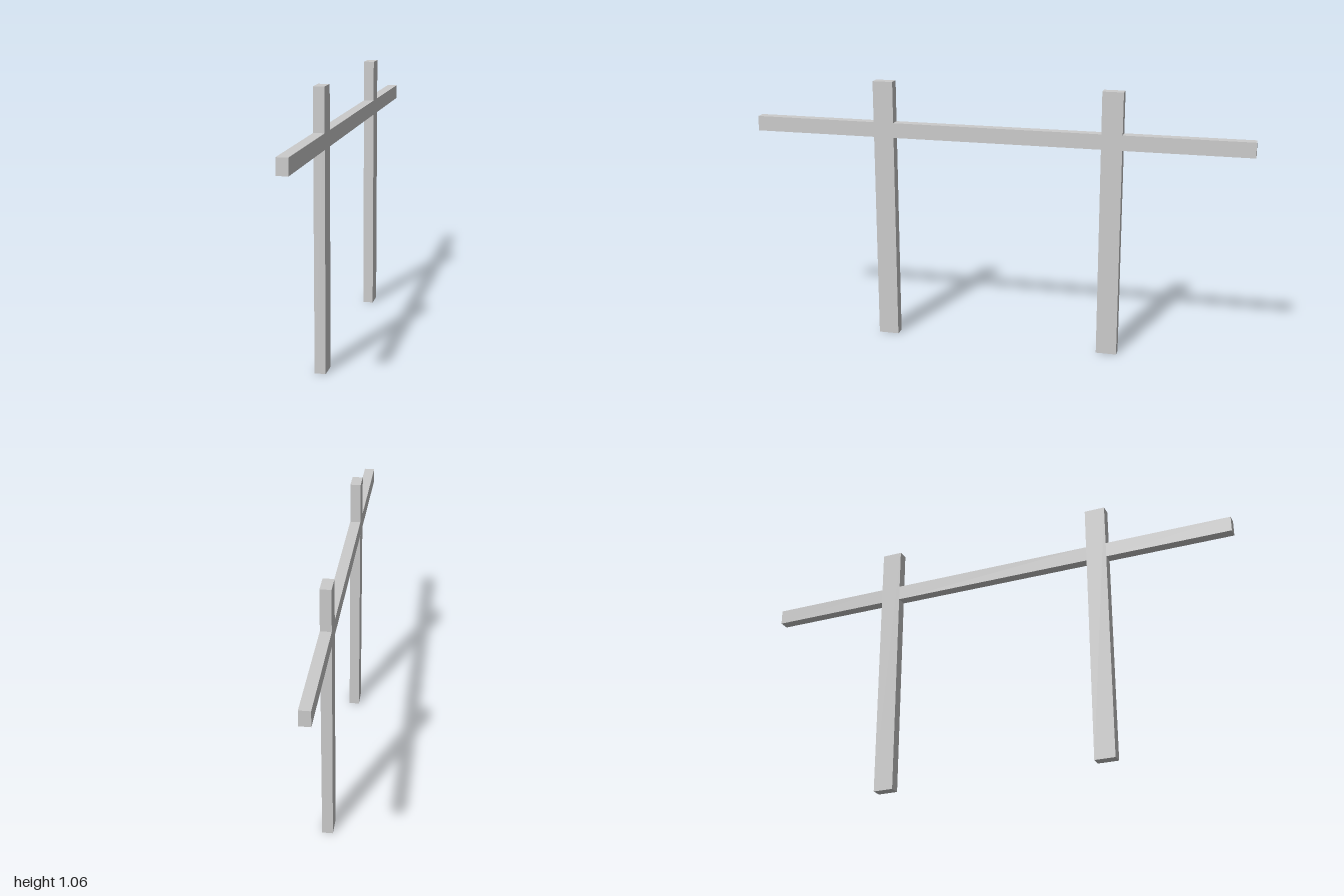
import * as THREE from 'three';

const THICK = 0.042;
const POST = { height: 1.062, inner: 0.418, outer: 0.5 };
const RAIL = { bottom: 0.837, top: 0.897, end: 1 };

export function createModel() {
  const model = new THREE.Group();
  model.name = 'postAndRailFence';
  const material = new THREE.MeshStandardMaterial({ color: 0xcccccc, flatShading: true });

  // Box spanning the given y and z ranges, centred on x
  const beam = (name, parent, y0, y1, z0, z1) => {
    const mesh = new THREE.Mesh(new THREE.BoxGeometry(THICK, y1 - y0, z1 - z0), material);
    mesh.position.set(0, (y0 + y1) / 2, (z0 + z1) / 2);
    mesh.name = name;
    parent.add(mesh);
  };

  // Two upright posts
  beam('frontPost', model, 0, POST.height, POST.inner, POST.outer);
  beam('backPost', model, 0, POST.height, -POST.outer, -POST.inner);

  // Crossbar flush with the posts, in three lengths that butt against them
  const rail = new THREE.Group();
  rail.name = 'rail';
  model.add(rail);
  const { bottom, top, end } = RAIL;
  beam('railFrontEnd', rail, bottom, top, POST.outer, end);
  beam('railMiddle', rail, bottom, top, -POST.inner, POST.inner);
  beam('railBackEnd', rail, bottom, top, -end, -POST.outer);

  return model;
}
